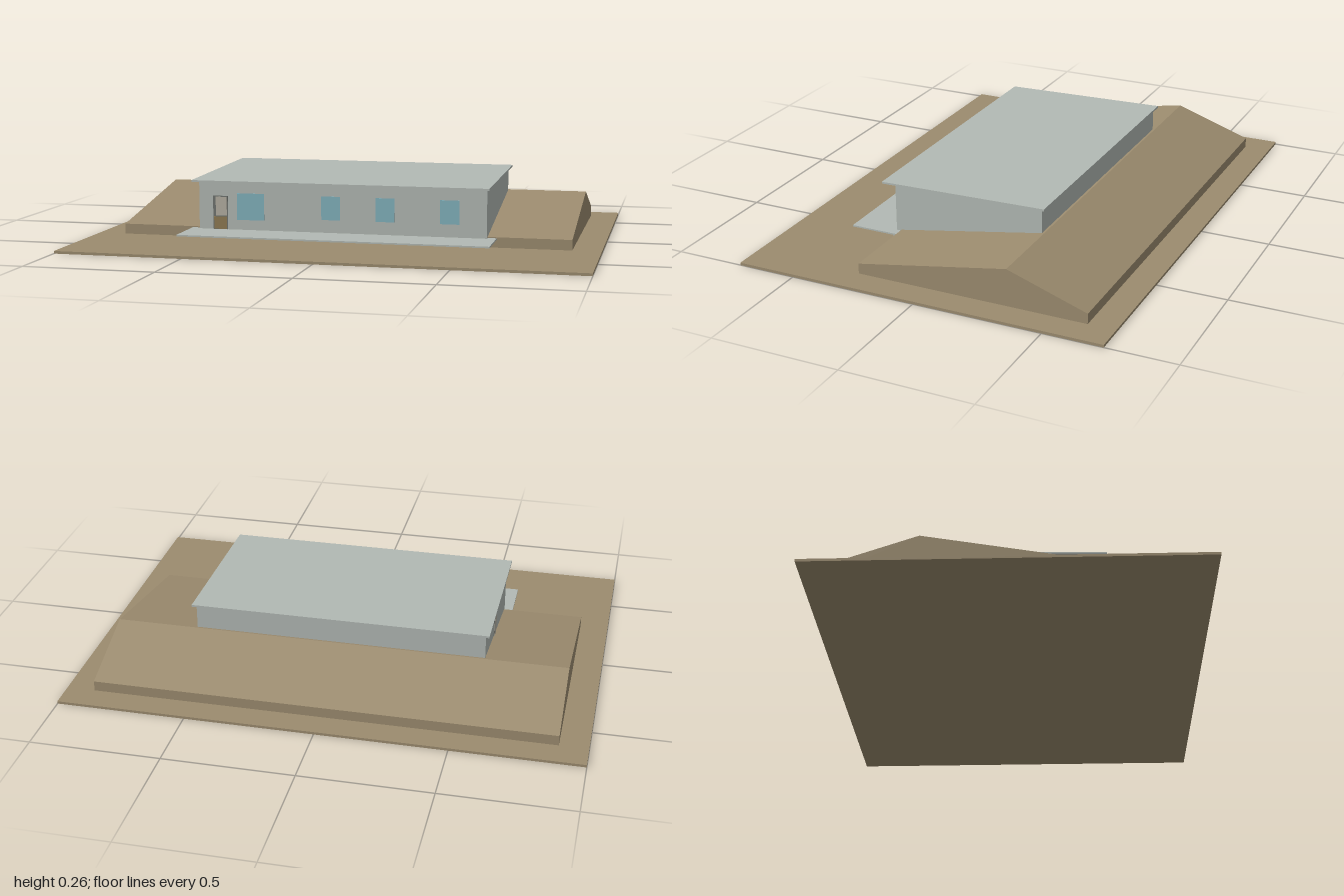
import * as THREE from 'three';

export function createModel() {
  const group = new THREE.Group();
  group.name = 'earthShelteredHouse';

  const paint = (name, color) => {
    const m = new THREE.MeshStandardMaterial({ color });
    m.name = name;
    return m;
  };
  const earth = paint('earth', 0x9c8c6f);
  const concrete = paint('concrete', 0xb2b9b4);
  const glass = paint('glass', 0x82b2bd);
  const doorPale = paint('doorPale', 0xb3afa2);
  const doorWood = paint('doorWood', 0x8f7a52);
  const frameGrey = paint('frameGrey', 0x6f746f);

  const add = (name, geometry, material) => {
    const mesh = new THREE.Mesh(geometry, material);
    mesh.name = name;
    group.add(mesh);
    return mesh;
  };

  // Box given by its min and max on each axis
  const box = (name, material, [x0, x1], [y0, y1], [z0, z1]) => {
    const g = new THREE.BoxGeometry(x1 - x0, y1 - y0, z1 - z0);
    g.translate((x0 + x1) / 2, (y0 + y1) / 2, (z0 + z1) / 2);
    return add(name, g, material);
  };

  // Side profile of [z, y] points, extruded across the width
  const profile = (name, material, halfWidth, points) => {
    const shape = new THREE.Shape(points.map(([z, y]) => new THREE.Vector2(-z, y)));
    const g = new THREE.ExtrudeGeometry(shape, { depth: 2 * halfWidth, bevelEnabled: false });
    g.translate(0, 0, -halfWidth);
    g.rotateY(Math.PI / 2);
    return add(name, g, material);
  };

  // Site plate and earth bank
  box('ground', earth, [-1, 1], [0, 0.01], [-0.73, 0.73]);
  profile('earthBank', earth, 0.89, [
    [0.285, 0.01], [0.285, 0.05], [-0.315, 0.155], [-0.625, 0.05], [-0.625, 0.01],
  ]);

  // Footing and front terrace
  box('footing', concrete, [-0.58, 0.58], [0.018, 0.03], [-0.3, 0.315]);
  box('terrace', concrete, [-0.605, 0.605], [0.04, 0.046], [0.28, 0.48]);

  // Walls under a shallow single-pitch roof
  profile('walls', concrete, 0.57, [
    [0.305, 0.046], [0.305, 0.239], [-0.305, 0.251], [-0.305, 0.046],
  ]);
  profile('roof', concrete, 0.585, [
    [0.355, 0.236], [0.355, 0.243], [-0.32, 0.257], [-0.32, 0.249],
  ]);

  // Front windows: [left, right, bottom, top]
  const windows = [
    [-0.415, -0.305, 0.085, 0.19],
    [-0.075, 0, 0.096, 0.188],
    [0.14, 0.213, 0.096, 0.188],
    [0.39, 0.465, 0.096, 0.188],
  ];
  for (const [x0, x1, y0, y1] of windows) {
    box('window', glass, [x0, x1], [y0, y1], [0.303, 0.307]);
  }

  // Front door: frame, pale upper leaf, wooden lower leaf
  box('doorFrame', frameGrey, [-0.513, -0.453], [0.046, 0.178], [0.303, 0.3065]);
  box('doorUpper', doorPale, [-0.502, -0.457], [0.1, 0.174], [0.304, 0.308]);
  box('doorLower', doorWood, [-0.509, -0.457], [0.047, 0.096], [0.304, 0.308]);

  // Small side door above the bank
  box('sideDoorFrame', frameGrey, [-0.5715, -0.568], [0.09, 0.202], [-0.055, 0.005]);
  box('sideDoor', doorPale, [-0.573, -0.569], [0.09, 0.198], [-0.05, 0]);

  return group;
}
